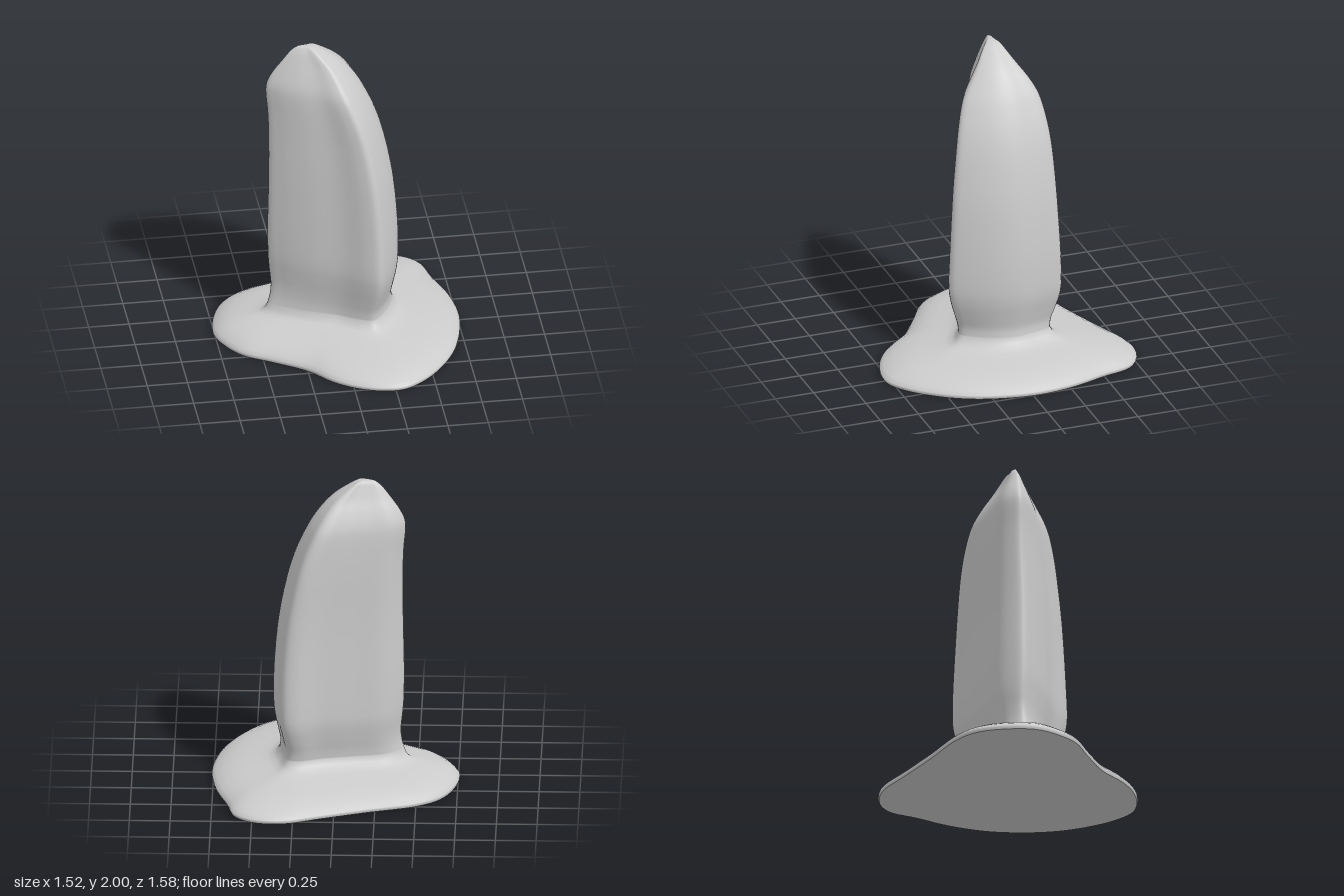
import * as THREE from 'three';

const SIDES = 120;

// Closed smooth outline from [x, z] points, evenly resampled
function outline(points) {
  const curve = new THREE.CatmullRomCurve3(
    points.map(([x, z]) => new THREE.Vector3(x, 0, z)), true);
  return curve.getSpacedPoints(SIDES).slice(0, SIDES);
}

// Fits an outline into the given x and z range at height y
function fit(ring, y, x0, x1, z0, z1) {
  const b = new THREE.Box3().setFromPoints(ring);
  const map = THREE.MathUtils.mapLinear;
  return ring.map(p => new THREE.Vector3(
    map(p.x, b.min.x, b.max.x, x0, x1), y, map(p.z, b.min.z, b.max.z, z0, z1)));
}

// Skins a stack of rings; an optional apex closes the top
function loft(rings, apex) {
  const pts = rings.flat();
  const index = [];
  for (let i = 0; i < rings.length - 1; i++) {
    for (let j = 0; j < SIDES; j++) {
      const a = i * SIDES + j, b = i * SIDES + (j + 1) % SIDES;
      index.push(a, a + SIDES, b, b, a + SIDES, b + SIDES);
    }
  }
  if (apex) {
    const o = (rings.length - 1) * SIDES;
    for (let j = 0; j < SIDES; j++) index.push(o + j, pts.length, o + (j + 1) % SIDES);
    pts.push(apex);
  }
  const g = new THREE.BufferGeometry().setFromPoints(pts);
  g.setIndex(index);
  g.computeVertexNormals();
  return g;
}

export function createModel() {
  const group = new THREE.Group();
  const material = new THREE.MeshStandardMaterial({ color: 0xcccccc });
  const add = (name, geometry) => {
    const mesh = new THREE.Mesh(geometry, material);
    mesh.name = name;
    group.add(mesh);
  };

  // Rounded, lopsided triangle of the foot
  const foot = outline([
    [-0.76, -0.05], [-0.71, -0.28], [-0.63, -0.41], [-0.5, -0.5], [-0.2, -0.6],
    [0.1, -0.71], [0.28, -0.78], [0.4, -0.79], [0.52, -0.76], [0.61, -0.68],
    [0.66, -0.5], [0.73, -0.28], [0.76, -0.05], [0.74, 0.15], [0.68, 0.36],
    [0.58, 0.54], [0.44, 0.7], [0.3, 0.785], [0.15, 0.78], [0, 0.72],
    [-0.12, 0.63], [-0.25, 0.48], [-0.45, 0.34], [-0.62, 0.23], [-0.71, 0.1]]);

  // Triangular section of the column
  const section = outline([
    [-0.425, -0.06], [-0.38, -0.14], [-0.3, -0.2], [-0.1, -0.25], [0.1, -0.3],
    [0.25, -0.355], [0.32, -0.34], [0.36, -0.2], [0.385, -0.05], [0.36, 0.1],
    [0.28, 0.27], [0.22, 0.34], [0.15, 0.32], [0, 0.22], [-0.2, 0.12], [-0.35, 0.02]]);

  // Column levels: y, x min, x max, z min, z max
  const levels = [
    [0.2, -0.42, 0.345, -0.29, 0.275], [0.26, -0.405, 0.34, -0.3, 0.28],
    [0.34, -0.4, 0.355, -0.325, 0.305], [0.44, -0.41, 0.375, -0.35, 0.335],
    [0.55, -0.418, 0.383, -0.355, 0.35], [0.75, -0.42, 0.38, -0.35, 0.342],
    [1.0, -0.415, 0.36, -0.34, 0.325], [1.2, -0.412, 0.33, -0.333, 0.305],
    [1.4, -0.412, 0.285, -0.325, 0.275], [1.55, -0.417, 0.235, -0.312, 0.245],
    [1.68, -0.428, 0.175, -0.29, 0.205], [1.75, -0.42, 0.135, -0.265, 0.17],
    [1.82, -0.385, 0.085, -0.225, 0.12], [1.89, -0.335, 0.02, -0.175, 0.065],
    [1.95, -0.29, -0.06, -0.135, 0.015], [1.985, -0.255, -0.115, -0.11, -0.02],
    [1.997, -0.23, -0.145, -0.09, -0.04]];
  const splines = [0, 1, 2, 3, 4].map(k =>
    new THREE.SplineCurve(levels.map((l, i) => new THREE.Vector2(i, l[k]))));
  const rings = [];
  for (let i = 0; i <= 64; i++) {
    rings.push(fit(section, ...splines.map(s => s.getPoint(i / 64).y)));
  }

  // Flare from rim to neck: share of the way inward, height
  const neck = rings[0];
  const flare = [[0.01, 0], [0, 0.012], [0, 0.025], [0.05, 0.045], [0.16, 0.07],
    [0.3, 0.09], [0.48, 0.107], [0.68, 0.121], [0.82, 0.133], [0.91, 0.147],
    [0.965, 0.17]].map(([t, y]) =>
    foot.map((p, j) => p.clone().lerp(neck[j], t).setY(y)));

  add('columnAndFlaredFoot', loft([...flare, ...rings], new THREE.Vector3(-0.19, 2, -0.065)));

  // Flat underside
  const bottom = new THREE.BufferGeometry().setFromPoints([...flare[0], new THREE.Vector3()]);
  const fan = [];
  for (let j = 0; j < SIDES; j++) fan.push(SIDES, j, (j + 1) % SIDES);
  bottom.setIndex(fan);
  bottom.computeVertexNormals();
  add('underside', bottom);

  return group;
}
